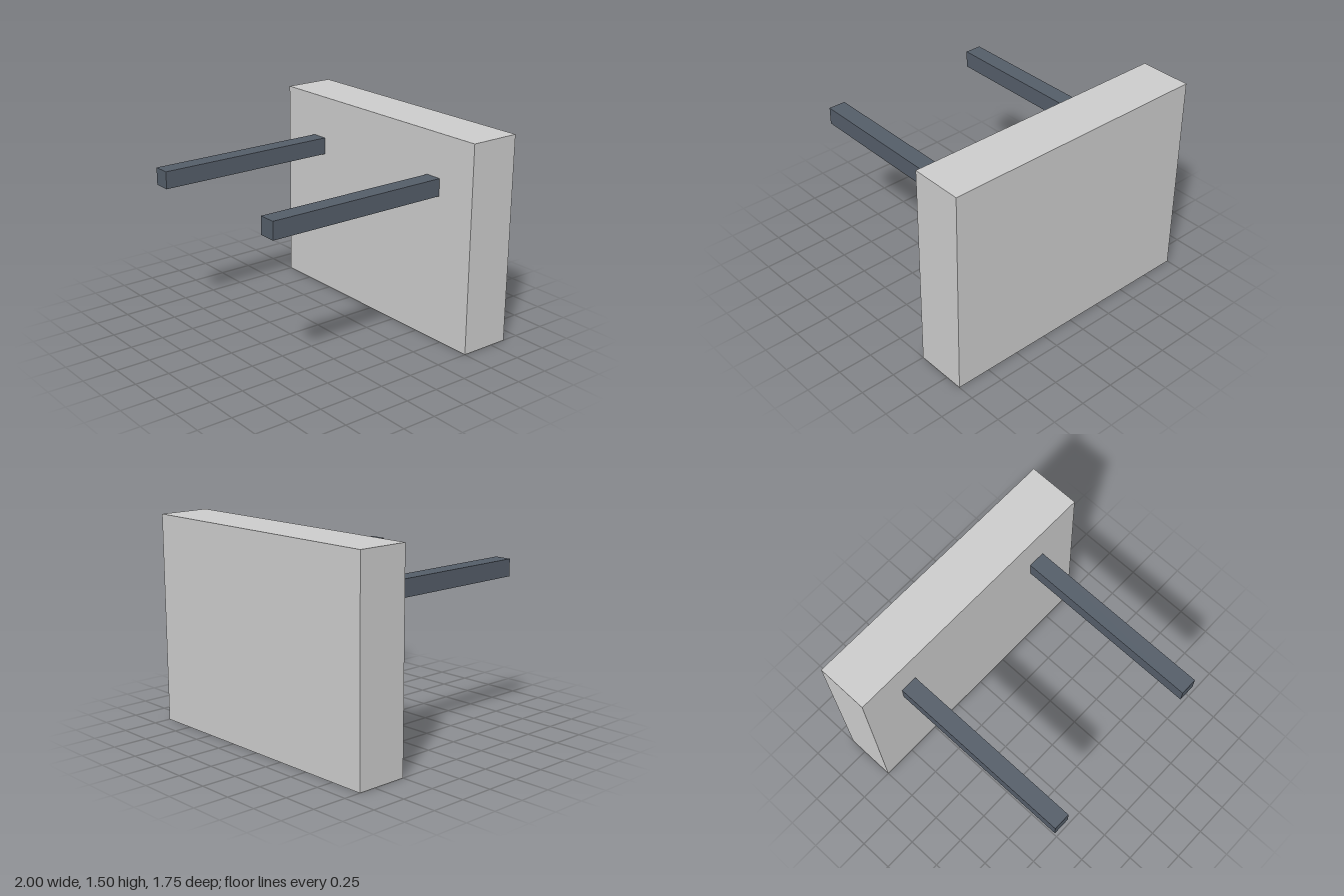
import * as THREE from 'three';

export function createModel() {
  const group = new THREE.Group();
  const grey = new THREE.MeshStandardMaterial({ color: 0xcccccc });
  const darkSteel = new THREE.MeshStandardMaterial({ color: 0x545d68 });

  const addBox = (name, material, size, position) => {
    const mesh = new THREE.Mesh(new THREE.BoxGeometry(...size), material);
    mesh.name = name;
    mesh.position.set(...position);
    group.add(mesh);
  };

  // Upright slab at the back, standing on the ground
  addBox('backSlab', grey, [2, 1.5, 0.375], [0, 0.75, -0.6875]);

  // Two square bars reaching forward from the slab's front face
  for (const [name, side] of [['leftBar', 1], ['rightBar', -1]]) {
    addBox(name, darkSteel, [0.125, 0.125, 1.375], [side * 0.625, 1.125, 0.1875]);
  }

  return group;
}
